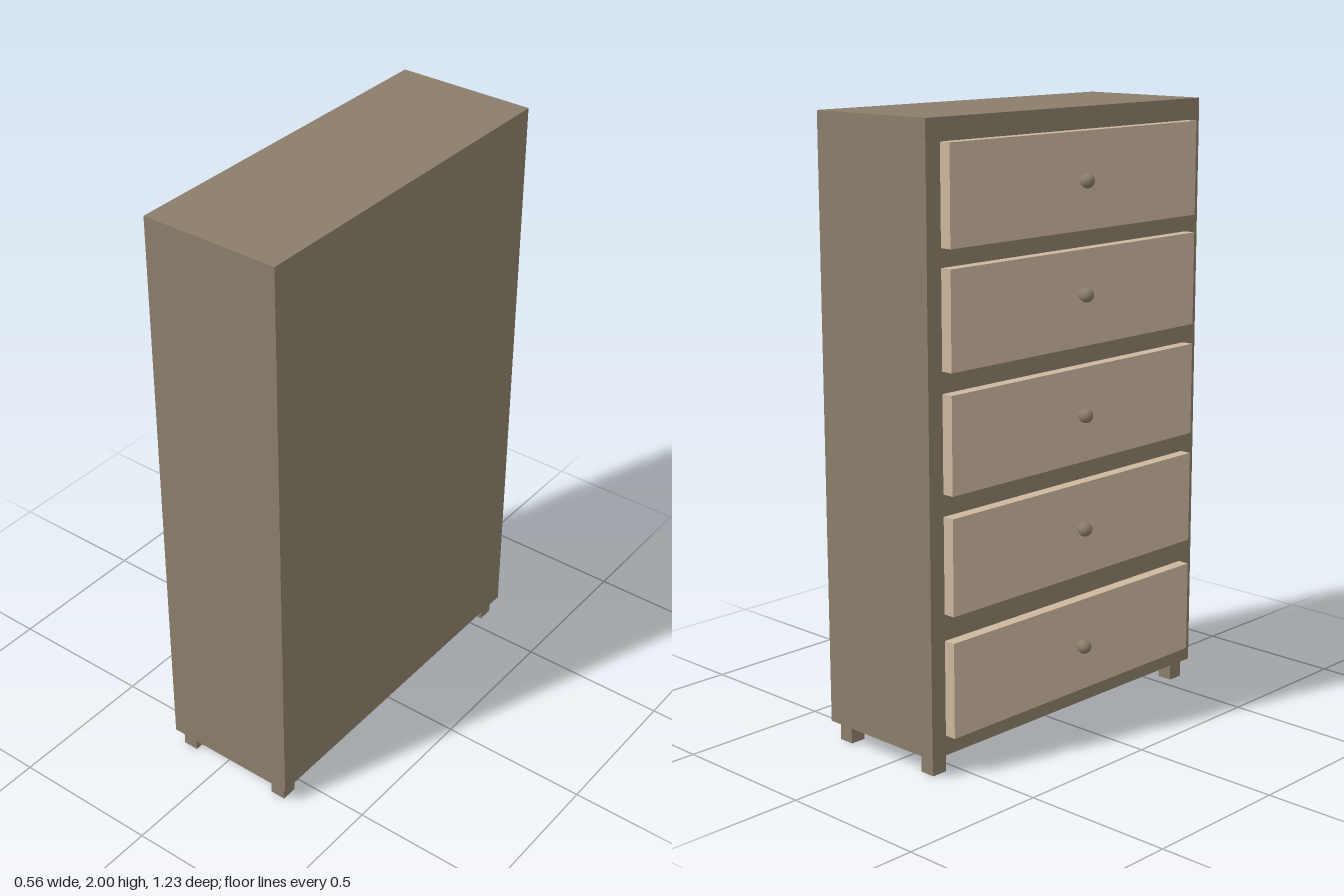
import * as THREE from 'three';

const wood = new THREE.MeshStandardMaterial({ color: 0x8b7d6b });
const paleWood = new THREE.MeshStandardMaterial({ color: 0xcdb79e });

function add(parent, name, geometry, material, x, y, z) {
  const mesh = new THREE.Mesh(geometry, material);
  mesh.name = name;
  mesh.position.set(x, y, z);
  parent.add(mesh);
  return mesh;
}

export function createModel() {
  const chest = new THREE.Group();
  chest.name = 'chestOfDrawers';

  // Cabinet body
  add(chest, 'cabinet', new THREE.BoxGeometry(0.467, 1.937, 1.234), wood, 0.0435, 1.0315, 0);

  // Four short square legs
  const legGeometry = new THREE.BoxGeometry(0.052, 0.063, 0.054);
  for (const x of [-0.145, 0.23]) {
    for (const z of [-0.57, 0.57]) add(chest, 'leg', legGeometry, wood, x, 0.0315, z);
  }

  // Drawer fronts on the -x side, each with a round knob on a stem
  const frontGeometry = new THREE.BoxGeometry(0.039, 0.305, 1.116);
  const stemGeometry = new THREE.CylinderGeometry(0.009, 0.009, 0.03, 16);
  stemGeometry.rotateZ(Math.PI / 2);
  const knobGeometry = new THREE.SphereGeometry(0.023, 24, 16);
  const drawers = [[0.28, 0.285], [0.669, 0.678], [1.043, 1.047], [1.415, 1.429], [1.778, 1.781]];
  for (const [frontY, knobY] of drawers) {
    const drawer = new THREE.Group();
    drawer.name = 'drawer';
    add(drawer, 'drawerFront', frontGeometry, paleWood, -0.2095, frontY, -0.002);
    add(drawer, 'knobStem', stemGeometry, wood, -0.235, knobY, -0.002);
    add(drawer, 'knob', knobGeometry, wood, -0.256, knobY, -0.002);
    chest.add(drawer);
  }
  return chest;
}
